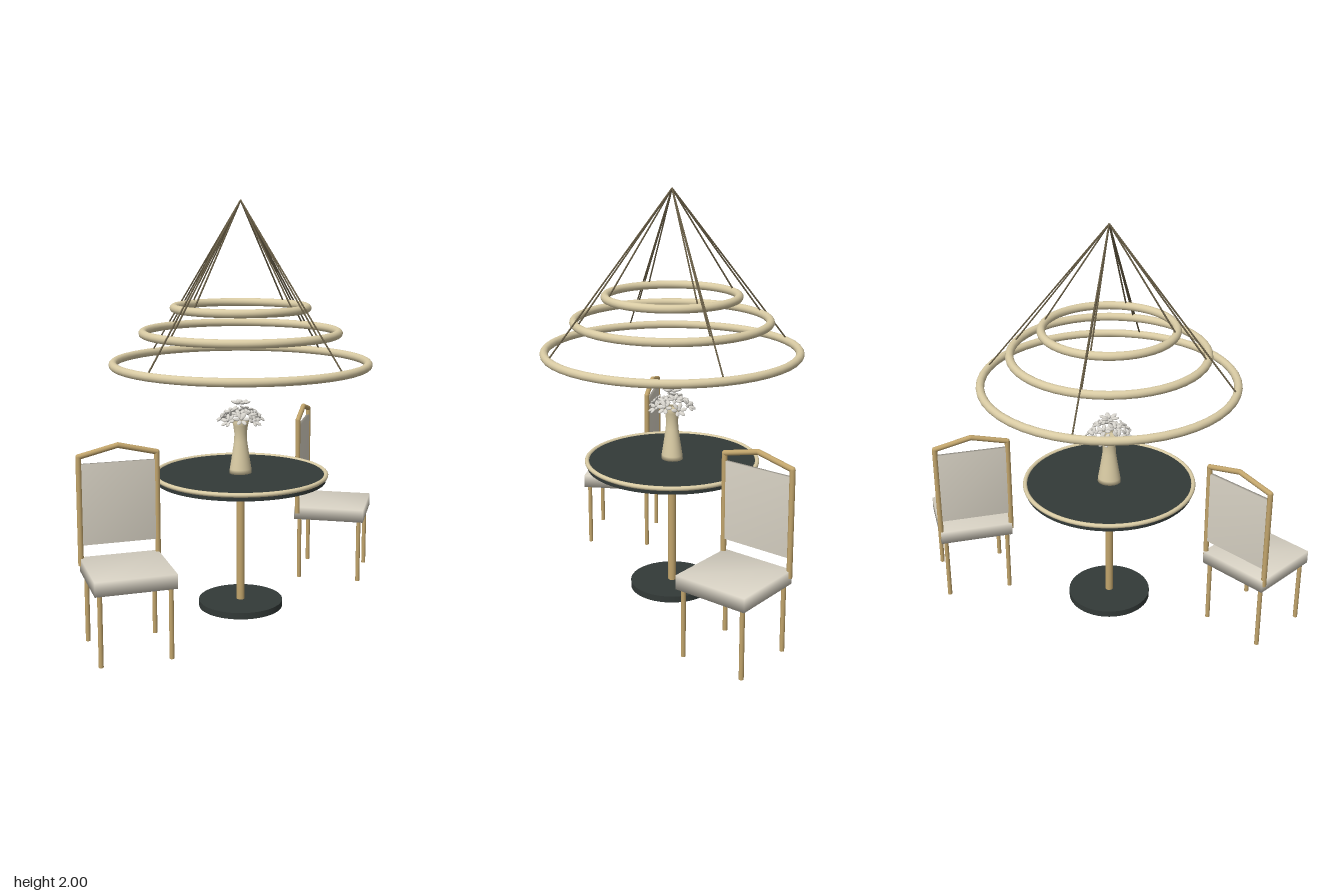
import * as THREE from 'three';
import { mergeVertices } from 'three/addons/utils/BufferGeometryUtils.js';

const mat = (color) => new THREE.MeshStandardMaterial({ color });

export function createModel() {
  const root = new THREE.Group();
  const brass = mat(0xc2a56c), pale = mat(0xd9cba4), dark = mat(0x333a38);
  const fabric = mat(0xd8d2c4), white = mat(0xd6d3cc), wire = mat(0x6b6048);

  const group = (parent, name) => {
    const g = new THREE.Group();
    g.name = name;
    parent.add(g);
    return g;
  };
  const add = (parent, name, geometry, material, x = 0, y = 0, z = 0) => {
    const m = new THREE.Mesh(geometry, material);
    m.name = name;
    m.position.set(x, y, z);
    parent.add(m);
    return m;
  };
  // Round bar between two points
  const bar = (parent, name, a, b, r, material, sides = 12) => {
    const from = new THREE.Vector3(...a), to = new THREE.Vector3(...b);
    const dir = to.clone().sub(from);
    const m = add(parent, name, new THREE.CylinderGeometry(r, r, dir.length(), sides), material);
    m.position.copy(from).add(to).multiplyScalar(0.5);
    m.quaternion.setFromUnitVectors(new THREE.Vector3(0, 1, 0), dir.normalize());
    return m;
  };
  // Box with shared corner normals, for padded shading
  const softBox = (w, h, d) => {
    let g = new THREE.BoxGeometry(w, h, d);
    g.deleteAttribute('normal');
    g.deleteAttribute('uv');
    g = mergeVertices(g);
    g.computeVertexNormals();
    return g;
  };

  // Chairs, turned outwards on either side
  const seatGeo = softBox(0.366, 0.066, 0.366);
  const panelGeo = softBox(0.338, 0.376, 0.016);
  const knobGeo = new THREE.SphereGeometry(0.013, 12, 8);
  for (const side of [-1, 1]) {
    const chair = group(root, side > 0 ? 'leftChair' : 'rightChair');
    chair.position.x = side * 0.75;
    chair.rotation.y = side * Math.PI / 6;
    add(chair, 'seat', seatGeo, fabric, 0, 0.361, 0);
    add(chair, 'backPanel', panelGeo, fabric, 0, 0.643, -0.167);
    for (const s of [-1, 1]) {
      for (const f of [-1, 1]) {
        bar(chair, f > 0 ? 'frontLeg' : 'backLeg', [s * 0.158, 0, f * 0.158], [s * 0.158, 0.34, f * 0.158], 0.011, brass);
      }
      bar(chair, 'backPost', [s * 0.18, 0.36, -0.167], [s * 0.18, 0.865, -0.167], 0.013, brass);
      bar(chair, 'topRail', [s * 0.18, 0.865, -0.167], [0, 0.908, -0.167], 0.013, brass);
      add(chair, 'railCorner', knobGeo, brass, s * 0.18, 0.865, -0.167);
    }
    add(chair, 'railPeak', knobGeo, brass, 0, 0.908, -0.167);
  }

  // Pedestal table
  const table = group(root, 'table');
  add(table, 'tableTop', new THREE.CylinderGeometry(0.417, 0.417, 0.032, 64), dark, 0, 0.666, 0);
  const rim = add(table, 'tableRim', new THREE.TorusGeometry(0.418, 0.011, 10, 64), pale, 0, 0.679, 0);
  rim.rotation.x = Math.PI / 2;
  bar(table, 'column', [0, 0.03, 0], [0, 0.655, 0], 0.02, brass, 24);
  add(table, 'tableBase', new THREE.CylinderGeometry(0.208, 0.208, 0.032, 48), dark, 0, 0.021, 0);

  // Flared vase, open at the top
  const profile = [[0, 0.682], [0.058, 0.684], [0.056, 0.705], [0.045, 0.77], [0.034, 0.84],
    [0.032, 0.88], [0.038, 0.92], [0.045, 0.945], [0.036, 0.935], [0.028, 0.88], [0, 0.86]];
  const vase = add(root, 'vase', new THREE.LatheGeometry(profile.map((p) => new THREE.Vector2(...p)), 32), pale);
  vase.scale.z = 0.9;

  // Bouquet: one crown blossom, an inner ring and an outer ring of tilted blossoms
  const bouquet = group(root, 'bouquet');
  const petalGeo = new THREE.SphereGeometry(1, 10, 6);
  petalGeo.scale(0.019, 0.006, 0.011);
  const heartGeo = new THREE.SphereGeometry(0.009, 10, 6);
  const blossom = (x, y, z, tilt, heading, size) => {
    const b = group(bouquet, 'blossom');
    b.position.set(x, y, z);
    b.rotation.set(tilt, heading, 0, 'YXZ');
    b.scale.setScalar(size);
    for (let i = 0; i < 6; i++) {
      const a = i / 6 * Math.PI * 2;
      const p = add(b, 'petal', petalGeo, white, Math.cos(a) * 0.026, 0, Math.sin(a) * 0.026);
      p.rotation.set(0, -a, 0.25);
    }
    add(b, 'blossomHeart', heartGeo, white, 0, 0.004, 0);
  };
  blossom(0, 1.033, 0, 0, 0, 1.1);
  for (const [count, radius, y, tilt, offset] of [[5, 0.046, 0.985, 0.35, 0.3], [8, 0.09, 0.955, 0.85, 0]]) {
    for (let i = 0; i < count; i++) {
      const a = offset + i / count * Math.PI * 2;
      const lift = (i % 2) * 0.012;
      blossom(Math.sin(a) * radius, y + lift, Math.cos(a) * radius, tilt, a, 0.9);
    }
  }

  // Three-tier ring chandelier hung from one point
  const chandelier = group(root, 'chandelier');
  for (const [name, radius, y] of [['largeRing', 0.612, 1.226], ['middleRing', 0.468, 1.374], ['smallRing', 0.318, 1.492]]) {
    const ring = add(chandelier, name, new THREE.TorusGeometry(radius, 0.02, 14, 48), pale, 0, y, 0);
    ring.rotation.x = Math.PI / 2;
    for (let i = 0; i < 4; i++) {
      const a = i * Math.PI / 2;
      bar(chandelier, 'cable', [Math.cos(a) * radius, y + 0.01, Math.sin(a) * radius], [0, 1.995, 0], 0.004, wire, 6);
    }
  }

  return root;
}
